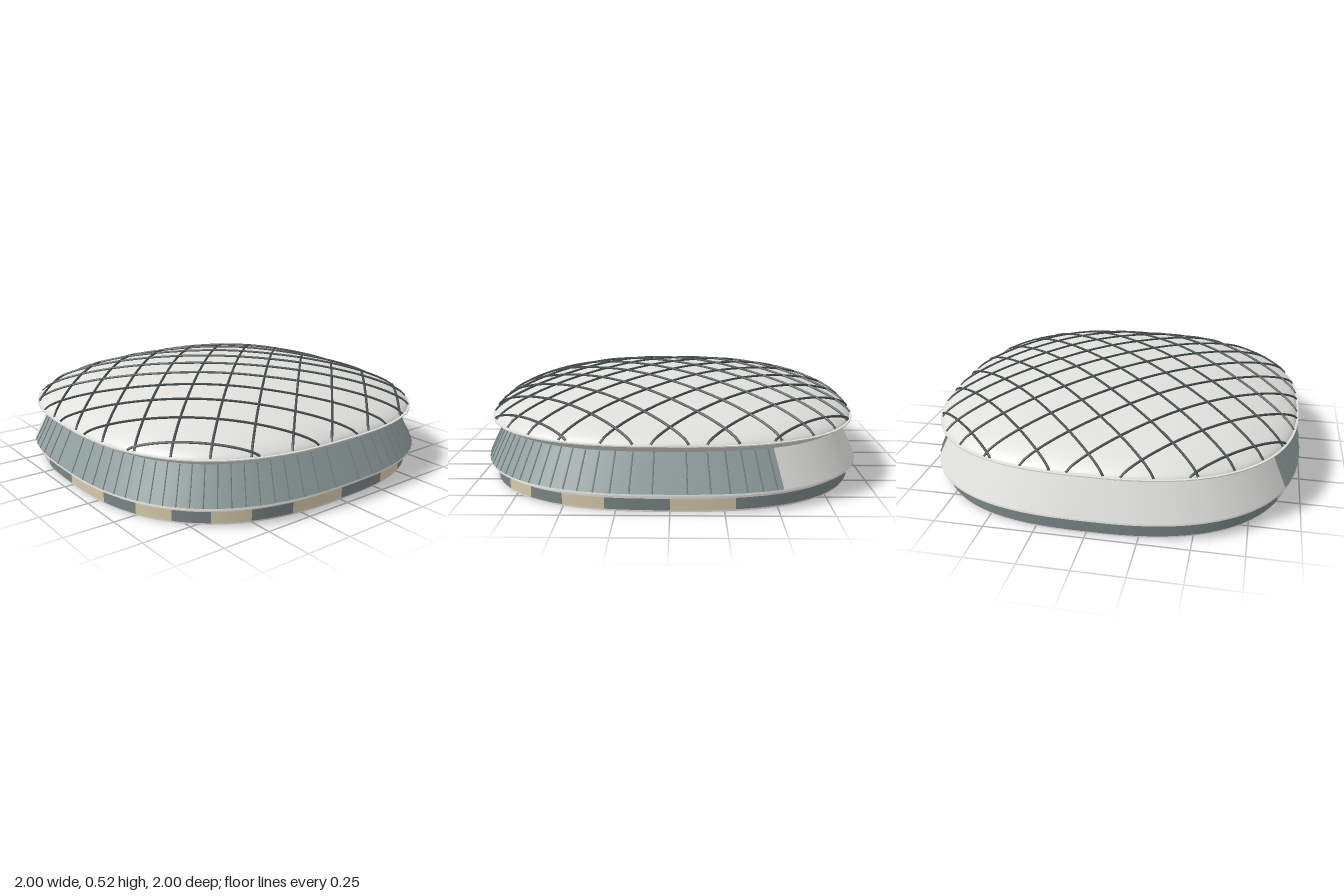
import * as THREE from 'three';

const N = 2.6;                     // superellipse exponent of the plan
const SEG = (Math.PI * 2) / 28;    // one base panel
const GLASS = 9 * SEG;             // glazed half-sweep measured from the front
const DOME_R = 0.962, DOME_Y = 0.315, DOME_H = 0.198;

const mat = (name, color) => {
  const m = new THREE.MeshStandardMaterial({ color, side: THREE.DoubleSide });
  m.name = name;
  return m;
};

// Point on the rounded-square plan; t = 0 is the front, growing towards +x
const plan = (r, t, y) => {
  const f = (v) => Math.sign(v) * Math.pow(Math.abs(v), 2 / N);
  return new THREE.Vector3(r * f(Math.sin(t)), y, r * f(Math.cos(t)));
};

// Surface swept round the plan from a profile of [radius, height]
function band(profile, t0 = 0, t1 = Math.PI * 2, segs = 168) {
  const pos = [], idx = [], w = profile.length;
  for (let i = 0; i <= segs; i++) {
    const t = t0 + ((t1 - t0) * i) / segs;
    for (const [r, y] of profile) pos.push(...plan(r, t, y).toArray());
  }
  for (let i = 0; i < segs; i++) {
    for (let j = 0; j < w - 1; j++) {
      const a = i * w + j, b = a + w;
      idx.push(a, b, b + 1, a, b + 1, a + 1);
    }
  }
  const g = new THREE.BufferGeometry();
  g.setAttribute('position', new THREE.Float32BufferAttribute(pos, 3));
  g.setIndex(idx);
  g.computeVertexNormals();
  return g;
}

const domeHeight = (s) => DOME_Y + DOME_H * Math.pow(Math.max(0, 1 - s * s), 0.68);
const reach = (x, z) =>
  Math.pow(Math.abs(x / DOME_R) ** N + Math.abs(z / DOME_R) ** N, 1 / N);

export function createModel() {
  const model = new THREE.Group();
  model.name = 'arena';
  const white = mat('white cladding', 0xe0e0dd);
  const glass = mat('grey green glass', 0x91a09f);
  const slate = mat('slate panel', 0x7a8786);
  const tan = mat('sand panel', 0xd8ccac);
  const steel = mat('dark steel', 0x485150);

  const add = (name, geo, material, parent = model) => {
    const m = new THREE.Mesh(geo, material);
    m.name = name;
    parent.add(m);
    return m;
  };
  const group = (name) => {
    const g = new THREE.Group();
    g.name = name;
    model.add(g);
    return g;
  };

  // Base wall and the ledge under the sloping facade
  add('baseWall', band([[0.955, 0], [0.955, 0.09]]), white);
  add('ledge', band([[0.955, 0.09], [0.997, 0.09]]), white);
  add('ledgeEdge', band([[0.997, 0.09], [0.995, 0.098]]), white);

  // Alternating base panels, plain slate round the back
  const panels = group('basePanels');
  const strip = [[0.96, 0.01], [0.96, 0.065]];
  for (let k = -9; k < 9; k++) {
    add('basePanel', band(strip, k * SEG, (k + 1) * SEG, 8), k % 2 ? tan : slate, panels);
  }
  add('backBasePanel', band(strip, GLASS, Math.PI * 2 - GLASS, 80), slate, panels);

  // Sloping facade: glass round the front and sides, solid at the back
  const slope = [[0.995, 0.098], [0.91, 0.273]];
  add('glassFacade', band(slope, -GLASS, GLASS, 108), glass);
  add('backFacade', band(slope, GLASS, Math.PI * 2 - GLASS, 80), white);

  // Slim mullions on the glass, three to each base panel
  const mullions = group('mullions');
  for (let k = -27; k < 27; k++) {
    const t = ((k + 0.5) * SEG) / 3;
    const line = new THREE.LineCurve3(plan(0.996, t, 0.099), plan(0.912, t, 0.272));
    add('mullion', new THREE.TubeGeometry(line, 1, 0.0035, 4), slate, mullions);
  }

  // Roof rim: soffit, upright edge, flat lip and inner lining
  add('rimSoffit', band([[0.91, 0.273], [0.973, 0.311]]), white);
  add('rimEdge', band([[0.973, 0.311], [0.973, 0.316]]), white);
  add('rimLip', band([[0.973, 0.316], [DOME_R, 0.317]]), white);
  add('innerLining', band([[0.91, 0.275], [0.67, 0.43]]), white);

  // Shallow roof dome
  const profile = [];
  for (let i = 0; i <= 28; i++) {
    const s = Math.cos((i / 28) * Math.PI / 2);
    profile.push([DOME_R * s, domeHeight(s)]);
  }
  add('roofDome', band(profile), white);

  // Diagonal lattice of bars following the dome
  const lattice = group('roofLattice');
  for (const side of [1, -1]) {
    for (let k = -6; k < 6; k++) {
      const c = (k + 0.5) * 0.25;
      let lo = 0, hi = 2;
      for (let i = 0; i < 30; i++) {          // where the bar meets the rim
        const v = (lo + hi) / 2;
        if (reach((c + v) / 2, (c - v) / 2) < 1) lo = v; else hi = v;
      }
      const pts = [];
      for (let i = 0; i <= 24; i++) {
        const v = lo * Math.sin((i / 24 - 0.5) * Math.PI);
        const x = (c + v) / 2, z = (c - v) / 2;
        pts.push(new THREE.Vector3(side * x, domeHeight(reach(x, z)) + 0.005, z));
      }
      const path = new THREE.CatmullRomCurve3(pts);
      add('latticeBar', new THREE.TubeGeometry(path, 48, 0.0065, 5), steel, lattice);
    }
  }
  return model;
}
